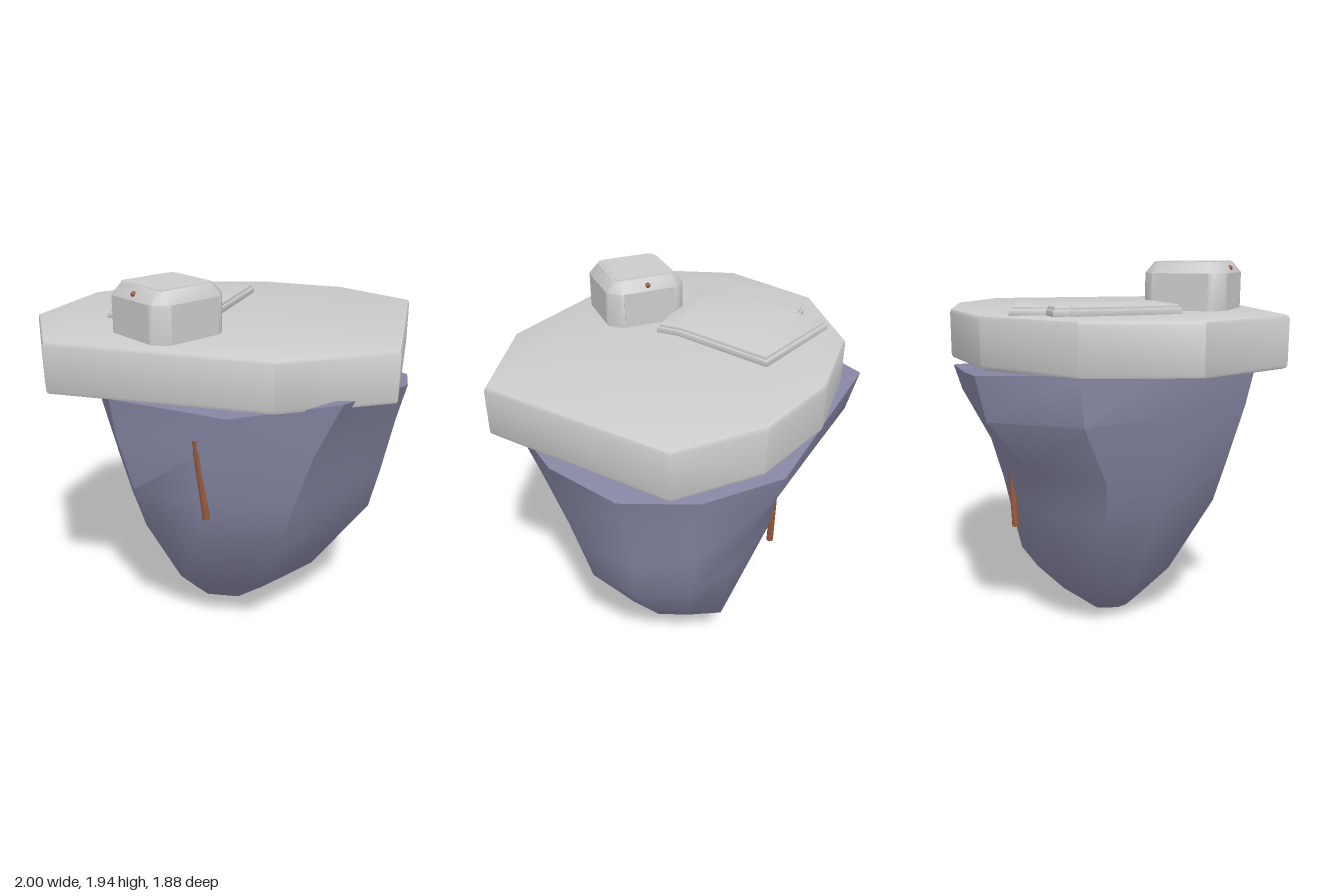
import * as THREE from 'three';
import { toCreasedNormals } from 'three/addons/utils/BufferGeometryUtils.js';

const grey = new THREE.MeshStandardMaterial({ color: 0xcccccc, side: THREE.DoubleSide });
const blueGrey = new THREE.MeshStandardMaterial({ color: 0x8686a4, side: THREE.DoubleSide });
const copper = new THREE.MeshStandardMaterial({ color: 0x965a3a });

function add(parent, name, geometry, material = grey) {
  const mesh = new THREE.Mesh(geometry, material);
  mesh.name = name;
  parent.add(mesh);
  return mesh;
}

// Skin over rings of [x, y, z] from bottom to top, closed by a fan at each end
function loft(rings, crease, topY) {
  const n = rings[0].length, pos = rings.flat(2), index = [];
  for (let i = 0; i < rings.length - 1; i++) {
    for (let j = 0; j < n; j++) {
      const a = i * n + j, b = i * n + (j + 1) % n;
      index.push(a, b, b + n, a, b + n, a + n);
    }
  }
  const last = (rings.length - 1) * n, low = rings.length * n, high = low + 1;
  const middle = (ring, k) => ring.reduce((s, p) => s + p[k], 0) / n;
  const top = rings[rings.length - 1];
  pos.push(middle(rings[0], 0), rings[0][0][1], middle(rings[0], 2));
  pos.push(middle(top, 0), topY, middle(top, 2));
  for (let j = 0; j < n; j++) {
    const k = (j + 1) % n;
    index.push(low, k, j, high, last + j, last + k);
  }
  const g = new THREE.BufferGeometry();
  g.setAttribute('position', new THREE.Float32BufferAttribute(pos, 3));
  g.setIndex(index);
  return toCreasedNormals(g, crease);
}

// Flat bevelled slab over an [x, z] outline, between two heights
function slabGeometry(outline, y0, y1, bevel) {
  const shape = new THREE.Shape(outline.map(([x, z]) => new THREE.Vector2(x, -z)));
  const g = new THREE.ExtrudeGeometry(shape, {
    depth: y1 - y0 - 2 * bevel, bevelEnabled: true, bevelSize: bevel,
    bevelThickness: bevel, bevelOffset: -bevel, bevelSegments: 2,
  });
  g.rotateX(-Math.PI / 2).translate(0, y0 + bevel, 0);
  return toCreasedNormals(g, 0.5);
}

function rod(parent, name, from, to, radius) {
  const a = new THREE.Vector3(...from), b = new THREE.Vector3(...to);
  const mesh = add(parent, name, new THREE.CylinderGeometry(radius, radius, a.distanceTo(b), 12), copper);
  mesh.position.copy(a).lerp(b, 0.5);
  mesh.quaternion.setFromUnitVectors(new THREE.Vector3(0, 1, 0), b.sub(a).normalize());
}

function rockGeometry() {
  // Uneven upper rim
  const rim = [
    [0.21, 1.5, 0.94], [0.72, 1.42, 0.57], [0.89, 1.36, 0.25], [0.84, 1.33, -0.12],
    [0.68, 1.37, -0.5], [0.2, 1.4, -0.73], [-0.21, 1.45, -0.94], [-0.58, 1.46, -0.635],
    [-0.7, 1.43, -0.2], [-0.73, 1.44, 0.4], [-0.25, 1.395, 0.7],
  ];
  // Height, reach to -x, +x, -z, +z, rounding of the back, fullness of the right and left back corners
  const levels = [
    [0, 0.04, 0.06, 0.04, 0.04, 1, 0, 0], [0.05, 0.17, 0.2, 0.1, 0.09, 1, 0.05, 0.05],
    [0.13, 0.24, 0.3, 0.2, 0.18, 1, 0.12, 0.08], [0.29, 0.36, 0.47, 0.35, 0.42, 0.9, 0.18, 0.1],
    [0.7, 0.56, 0.77, 0.53, 0.7, 0.8, -0.12, 0.12], [0.93, 0.62, 0.81, 0.6, 0.78, 0.5, -0.06, 0.14],
    [1.23, 0.7, 0.86, 0.86, 0.86, 0.1, 0, 0.1],
  ];
  const rings = levels.map(([y, left, right, back, front, round, cornerR, cornerL]) => rim.map(([x, , z]) => {
    const u = x / (x < 0 ? 0.73 : 0.89), v = z / 0.94;
    const diagonal = (2 * u * v / (u * u + v * v)) ** 2;
    const f = z < 0
      ? (1 + round * (1 / Math.hypot(u, v) - 1)) * (1 + diagonal * (x < 0 ? cornerL : cornerR))
      : 1;
    // The front ridge drifts sideways on its way down
    const drift = z > 0.65 ? -0.27 * (1.5 - y) * y : 0;
    return [u * f * (x < 0 ? left : right) + drift, y, v * f * (z < 0 ? back : front)];
  }));
  return loft([...rings, rim], 0.85, 1.44);
}

function createBlock() {
  const block = new THREE.Group();
  block.name = 'block';
  // Square with cut corners; the top narrows over a chamfer
  const ring = (y, h, c) => [
    [-h + c, y, h], [h - c, y, h], [h, y, h - c], [h, y, -h + c],
    [h - c, y, -h], [-h + c, y, -h], [-h, y, -h + c], [-h, y, h - c],
  ];
  add(block, 'blockBody', loft([ring(1.69, 0.207, 0.055), ring(1.885, 0.207, 0.055), ring(1.94, 0.165, 0.035)], 0.85, 1.94));
  for (let i = 0; i < 4; i++) {
    const a = i * Math.PI / 2;
    const panel = add(block, 'sidePanel', new THREE.BoxGeometry(0.27, 0.18, 0.006));
    panel.position.set(Math.sin(a) * 0.207, 1.795, Math.cos(a) * 0.207);
    panel.rotation.y = a;
  }
  add(block, 'topPanel', new THREE.BoxGeometry(0.3, 0.004, 0.3)).position.y = 1.94;
  // Small studs on two opposite chamfers
  for (const s of [-1, 1]) {
    add(block, 'stud', new THREE.SphereGeometry(0.014, 12, 8), copper).position.set(s * 0.188, 1.908, 0);
  }
  block.position.set(-0.41, 0, 0.27);
  block.rotation.y = 0.44;
  return block;
}

export function createModel() {
  const model = new THREE.Group();
  model.name = 'floatingRock';

  add(model, 'rock', rockGeometry(), blueGrey);

  // Many-sided deck
  const deck = [
    [-0.08, -0.82], [0.4, -0.68], [0.78, -0.4], [1, 0.01], [0.5, 0.885],
    [-0.08, 0.86], [-1, 0.29], [-0.97, -0.26], [-0.62, -0.68],
  ];
  add(model, 'deck', slabGeometry(deck, 1.45, 1.705, 0.02));

  // Notched plate in two thin layers
  const plate = [
    [-0.2, -0.74], [0.243, -0.41], [-0.08, 0.03], [-0.12, 0.138], [-0.19, 0.115],
    [-0.645, -0.06], [-0.62, -0.15], [-0.45, -0.54], [-0.42, -0.56], [-0.39, -0.63], [-0.3, -0.6],
  ];
  add(model, 'plate', slabGeometry(plate, 1.7, 1.735, 0.006));
  const inset = plate.map(([x, z]) => [-0.2 + (x + 0.2) * 0.96, -0.3 + (z + 0.3) * 0.96]);
  add(model, 'plateTop', slabGeometry(inset, 1.72, 1.75, 0.005));

  model.add(createBlock());

  // Rods set into the rock
  rod(model, 'frontRod', [-0.32, 0.85, 0.59], [-0.37, 1.27, 0.595], 0.018);
  rod(model, 'backRod', [0.125, 0.56, -0.497], [0.15, 0.96, -0.5], 0.018);
  return model;
}
